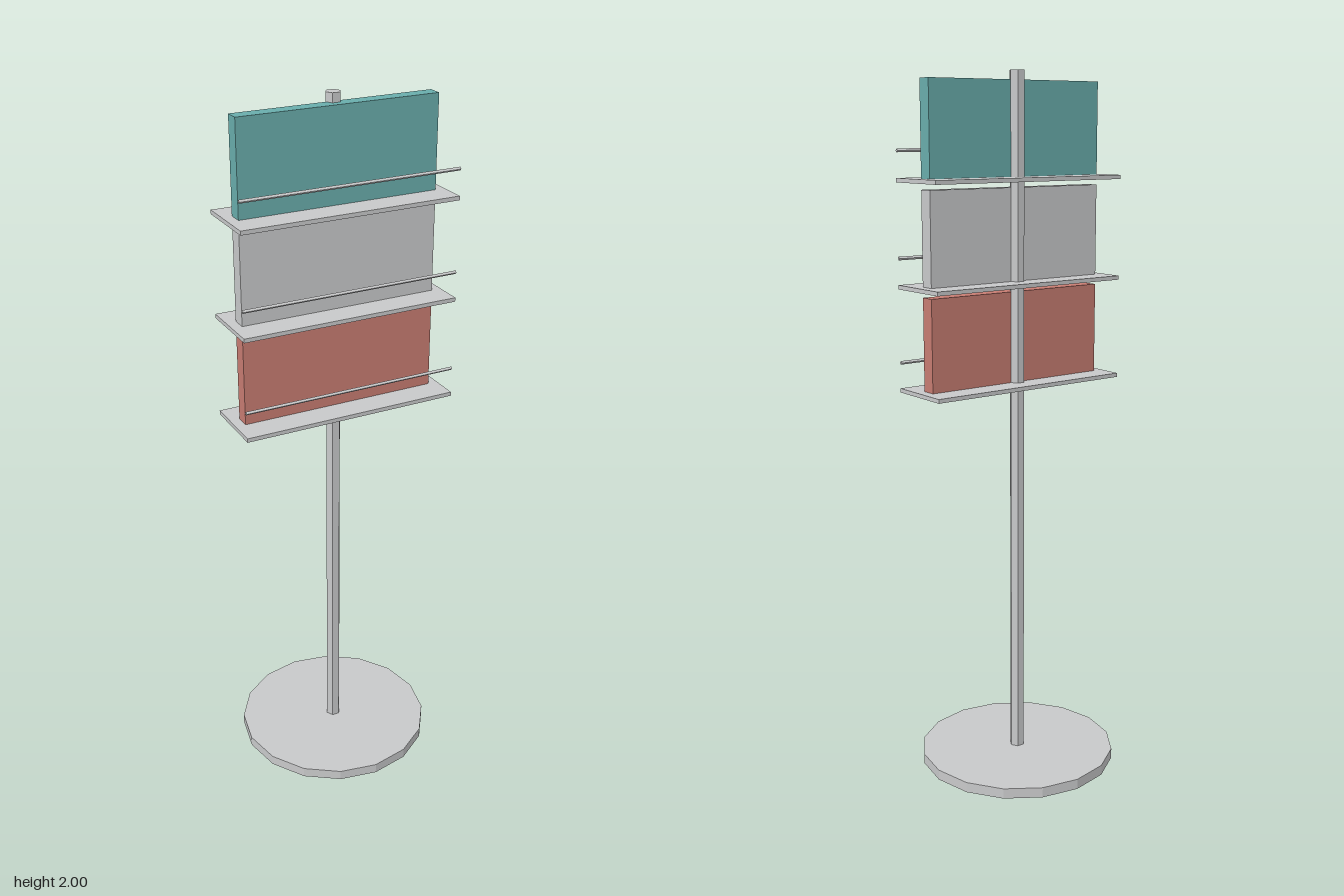
import * as THREE from 'three';

export function createModel() {
  const group = new THREE.Group();
  group.name = 'displayStand';

  const material = (name, color) => {
    const m = new THREE.MeshStandardMaterial({ color, flatShading: true });
    m.name = name;
    return m;
  };
  const grey = material('light grey', 0xc8c9ca);
  const teal = material('teal', 0x69adac);
  const red = material('red', 0xc77c72);

  const add = (name, geometry, mat, x, y, z) => {
    const mesh = new THREE.Mesh(geometry, mat);
    mesh.name = name;
    mesh.position.set(x, y, z);
    group.add(mesh);
    return mesh;
  };

  // Round foot and hexagonal pole
  add('base', new THREE.CylinderGeometry(0.286, 0.286, 0.03, 16), grey, 0, 0.015, 0);
  const poleGeometry = new THREE.CylinderGeometry(0.0215, 0.0215, 1.98, 6).rotateY(Math.PI / 6);
  add('pole', poleGeometry, grey, 0, 1.01, 0);

  // Three tiers: shelf, back panel and thin four-sided front rail
  const shelfGeometry = new THREE.BoxGeometry(0.63, 0.0115, 0.19);
  const panelGeometry = new THREE.BoxGeometry(0.573, 0.258, 0.041);
  const railGeometry = new THREE.CylinderGeometry(0.005, 0.005, 0.63, 4).rotateZ(Math.PI / 2);

  [['lower', red], ['middle', grey], ['upper', teal]].forEach(([tier, colour], i) => {
    const y = 1.14 + i * 0.286;
    add(tier + 'Shelf', shelfGeometry, grey, 0, y, 0.024);
    add(tier + 'Panel', panelGeometry, colour, 0, y + 0.134, 0.0205);
    add(tier + 'Rail', railGeometry, grey, 0, y + 0.078, 0.114);
  });

  return group;
}
